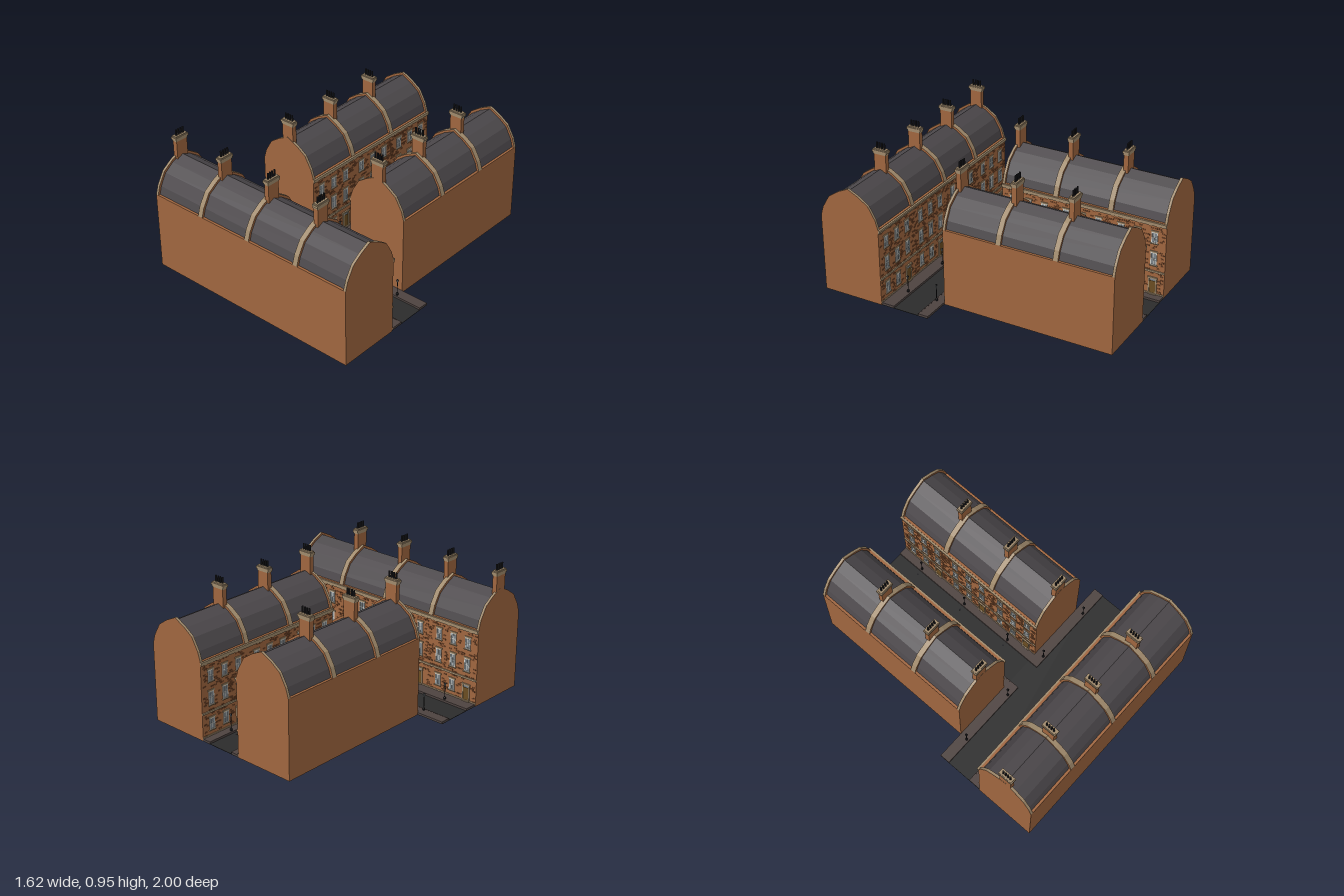
import * as THREE from 'three';
import { mergeGeometries } from 'three/addons/utils/BufferGeometryUtils.js';

const mat = (color) => new THREE.MeshStandardMaterial({ color, flatShading: true });
const M = {
  brick: mat(0xa0663f), darkBrick: mat(0x7a4a2c), stone: mat(0xa08a6c), slate: mat(0x4c484b),
  road: mat(0x2c2c2c), paving: mat(0x4e4340), iron: mat(0x1d1d20), frame: mat(0xd2d2cc),
  glass: mat(0x7c858b), door: mat(0x6b4d22), red: mat(0xa03a1c),
};
const D = 0.22;      // half depth of a terrace
const EAVES = 0.55;
const HOUSE = 0.403; // width of one house

function add(parent, name, geometry, material, x = 0, y = 0, z = 0) {
  const mesh = new THREE.Mesh(geometry, material);
  mesh.name = name;
  mesh.position.set(x, y, z);
  parent.add(mesh);
  return mesh;
}
const box = (parent, name, material, w, h, d, x, y, z) =>
  add(parent, name, new THREE.BoxGeometry(w, h, d), material, x, y, z);

function group(parent, name, x = 0, y = 0, z = 0) {
  const g = new THREE.Group();
  g.name = name;
  g.position.set(x, y, z);
  parent.add(g);
  return g;
}

// Curved roof outline (half profile mirrored), extruded along x from x0 to x1
function roofPrism(half, x0, x1) {
  const right = half.map(([u, y]) => new THREE.Vector2(u, y));
  const left = half.slice(0, -1).reverse().map(([u, y]) => new THREE.Vector2(-u, y));
  const geo = new THREE.ExtrudeGeometry(new THREE.Shape([...right, ...left]), { depth: x1 - x0, bevelEnabled: false });
  return geo.rotateY(Math.PI / 2).translate(x0, 0, 0);
}
const GABLE = [[D, EAVES], [0.2, 0.615], [0.15, 0.7], [0.08, 0.748], [0, 0.787]];
const ROOF = [[0.203, EAVES], [0.187, 0.605], [0.142, 0.685], [0.075, 0.733], [0, 0.77]];

function addChimney(parent, x) {
  const g = group(parent, 'chimney', x, 0, 0);
  box(g, 'chimneyStack', M.brick, 0.034, 0.15, 0.09, 0, 0.81, 0);
  box(g, 'chimneyLowerCap', M.stone, 0.04, 0.012, 0.098, 0, 0.882, 0);
  box(g, 'chimneyCap', M.stone, 0.045, 0.016, 0.108, 0, 0.896, 0);
  box(g, 'chimneyTopCap', M.stone, 0.036, 0.008, 0.095, 0, 0.908, 0);
  const pot = new THREE.CylinderGeometry(0.006, 0.007, 0.042, 8);
  for (let i = 0; i < 4; i++) add(g, 'chimneyPot', pot, M.iron, 0, 0.932, (i - 1.5) * 0.019);
}

// Sash window on the street face, which looks toward -z
function addWindow(parent, x, y, h) {
  const g = group(parent, 'window', x, y, -D), w = 0.044;
  box(g, 'glass', M.glass, w, h, 0.002, 0, 0, -0.001);
  for (const s of [-1, 1]) {
    box(g, 'windowJamb', M.frame, 0.005, h, 0.005, s * (w / 2 - 0.0025), 0, -0.0025);
    box(g, 'windowRail', M.frame, w, 0.005, 0.005, 0, s * (h / 2 - 0.0025), -0.0025);
  }
  box(g, 'middleRail', M.frame, w, 0.004, 0.004, 0, 0, -0.002);
  box(g, 'glazingBar', M.frame, 0.003, h, 0.004, 0, 0, -0.002);
  box(g, 'windowSill', M.stone, w + 0.012, 0.007, 0.009, 0, -h / 2 - 0.0035, -0.0045);
  box(g, 'windowLintel', M.stone, w + 0.012, 0.011, 0.005, 0, h / 2 + 0.0055, -0.0025);
}

function addDoor(parent, x) {
  const g = group(parent, 'frontDoor', x, 0.017, -D);
  box(g, 'doorLeaf', M.door, 0.044, 0.098, 0.004, 0, 0.049, -0.002);
  box(g, 'fanlight', M.glass, 0.044, 0.018, 0.003, 0, 0.108, -0.0015);
  for (const s of [-1, 1]) box(g, 'doorPost', M.stone, 0.008, 0.12, 0.007, s * 0.026, 0.06, -0.0035);
  box(g, 'doorHead', M.stone, 0.07, 0.01, 0.009, 0, 0.122, -0.0045);
  box(g, 'doorStep', M.stone, 0.056, 0.008, 0.012, 0, 0.003, -0.006);
}

// Raised bricks over a façade, kept clear of the openings
function addBrickwork(parent, length, openings, seed) {
  const random = () => (seed = (seed * 16807) % 2147483647) / 2147483647;
  const bricks = [];
  const rows = 38, step = 0.027;
  for (let r = 0; r < rows; r++) {
    const y = 0.025 + r * 0.0132;
    for (let x = -length / 2 + 0.02 + (r % 2) * step / 2; x < length / 2 - 0.015; x += step) {
      const blocked = openings.some(([ox, oy, hh]) => Math.abs(x - ox) < 0.04 && Math.abs(y - oy) < hh);
      if (random() < 0.45 && !blocked) bricks.push(new THREE.BoxGeometry(0.022, 0.0095, 0.004).translate(x, y, -D - 0.0005));
    }
  }
  add(parent, 'raisedBricks', mergeGeometries(bricks), M.darkBrick);
}

// Terrace along x with its street face toward -z; chimneySide is the end that carries a chimney
function buildTerrace(parent, name, houses, chimneySide, seed) {
  const g = group(parent, name), length = houses * HOUSE, end = length / 2;
  box(g, 'terraceWalls', M.brick, length, EAVES, 2 * D, 0, EAVES / 2, 0);
  add(g, 'slateRoof', roofPrism(ROOF, -end + 0.01, end - 0.01), M.slate);

  // Party walls with stone coping
  for (let i = 0; i <= houses; i++) {
    const x = -end + i * HOUSE;
    const x0 = Math.max(-end, x - 0.018), x1 = Math.min(end, x + 0.018);
    add(g, 'partyWall', roofPrism(GABLE, x0, x1), [M.brick, M.stone]);
  }
  const openings = [];
  for (let i = 0; i < houses; i++) {
    addChimney(g, chimneySide * (end - 0.018 - i * HOUSE));
    const cx = -end + (i + 0.5) * HOUSE;
    for (const dx of [-0.12, 0, 0.12]) {
      addWindow(g, cx + dx, 0.28, 0.092);
      addWindow(g, cx + dx, 0.435, 0.078);
      openings.push([cx + dx, 0.28, 0.068], [cx + dx, 0.435, 0.06], [cx + dx, 0.085, 0.075]);
      if (dx < 0) addDoor(g, cx + dx);
      else addWindow(g, cx + dx, 0.1, 0.08);
    }
  }
  addBrickwork(g, length, openings, seed);

  // Stone bands on the street face
  box(g, 'plinth', M.stone, length, 0.012, 0.006, 0, 0.02, -D - 0.002);
  box(g, 'stringCourse', M.stone, length, 0.013, 0.008, 0, 0.187, -D - 0.004);
  box(g, 'cornice', M.stone, length, 0.014, 0.014, 0, 0.54, -D - 0.006);
  box(g, 'corniceMoulding', M.stone, length, 0.012, 0.008, 0, 0.527, -D - 0.004);
  return g;
}

function addLamp(parent, x, z) {
  const g = group(parent, 'streetLamp', x, 0.017, z);
  const profile = [[0, 0], [0.008, 0], [0.008, 0.012], [0.004, 0.018], [0.0025, 0.025], [0.0025, 0.1], [0, 0.1]];
  add(g, 'lampPost', new THREE.LatheGeometry(profile.map(([r, y]) => new THREE.Vector2(r, y)), 8), M.iron);
  add(g, 'lantern', new THREE.CylinderGeometry(0.008, 0.005, 0.016, 6), M.glass, 0, 0.108, 0);
  add(g, 'lanternCap', new THREE.ConeGeometry(0.01, 0.009, 6), M.iron, 0, 0.12, 0);
}

function addPhoneBox(parent, x, z) {
  const g = group(parent, 'phoneBox', x, 0.017, z);
  box(g, 'boxBody', M.red, 0.036, 0.095, 0.036, 0, 0.0475, 0);
  box(g, 'boxRoof', M.red, 0.041, 0.008, 0.041, 0, 0.099, 0);
  for (const s of [-1, 1]) {
    box(g, 'boxGlass', M.glass, 0.024, 0.062, 0.001, 0, 0.052, s * 0.0184);
    box(g, 'boxGlass', M.glass, 0.001, 0.062, 0.024, s * 0.0184, 0.052, 0);
  }
}

export function createModel() {
  const model = new THREE.Group();
  model.name = 'terracedStreets';

  // Three terraces around a T-shaped street
  buildTerrace(model, 'frontTerrace', 4, -1, 11).position.set(0, 0, 0.78);
  for (const s of [-1, 1]) {
    const row = buildTerrace(model, s < 0 ? 'rightTerrace' : 'leftTerrace', 3, -s, 23 + s);
    row.position.set(s * 0.38, 0, -0.3955);
    row.rotation.y = s * Math.PI / 2;
  }

  // Roads
  box(model, 'crossRoad', M.road, 1.606, 0.003, 0.35, 0, 0.0015, 0.385);
  box(model, 'sideRoad', M.road, 0.32, 0.003, 1.21, 0, 0.0015, -0.395);

  // Pavements and kerbs
  box(model, 'frontPavement', M.paving, 1.606, 0.014, 0.088, 0, 0.01, 0.516);
  box(model, 'frontKerb', M.paving, 1.606, 0.018, 0.006, 0, 0.009, 0.469);
  for (const s of [-1, 1]) {
    box(model, 'cornerPavement', M.paving, 0.703, 0.014, 0.07, s * 0.4515, 0.01, 0.243);
    box(model, 'cornerKerb', M.paving, 0.703, 0.018, 0.006, s * 0.4515, 0.009, 0.279);
    box(model, 'sidePavement', M.paving, 0.06, 0.014, 1.208, s * 0.13, 0.01, -0.396);
    box(model, 'sideKerb', M.paving, 0.006, 0.018, 1.282, s * 0.1, 0.009, -0.359);

    // Lamps and drain covers
    for (const x of [0.185, 0.605]) {
      addLamp(model, s * x, 0.485);
      addLamp(model, s * x, 0.265);
    }
    for (const z of [0, -0.4, -0.8]) {
      addLamp(model, s * 0.112, z);
      add(model, 'drainCover', new THREE.CylinderGeometry(0.007, 0.007, 0.002, 8), M.iron, s * 0.066, 0.004, z);
    }
  }
  addPhoneBox(model, -0.137, 0.07);
  return model;
}
